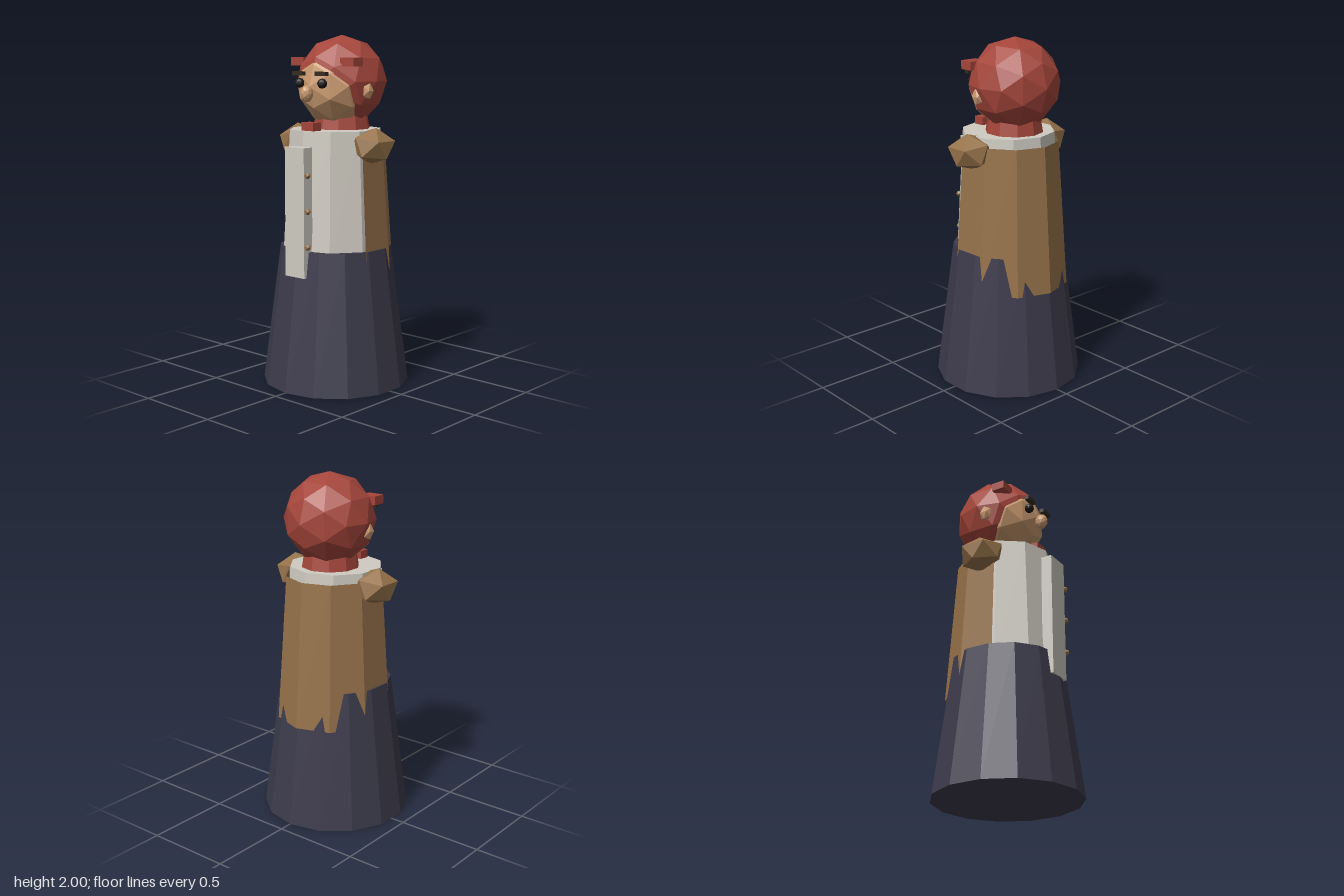
import * as THREE from 'three';

const mat = (name, color, side = THREE.FrontSide) =>
  Object.assign(new THREE.MeshStandardMaterial({ color, flatShading: true, side }), { name });

export function createModel() {
  const model = new THREE.Group();
  model.name = 'figure';

  const navy = mat('navy skirt cloth', 0x3d3b4c);
  const cream = mat('cream coat cloth', 0xcfcbc2);
  const brown = mat('brown cape cloth', 0x96724a, THREE.DoubleSide);
  const red = mat('red hair', 0xa5463b);
  const skin = mat('skin', 0xc9996f);
  const black = mat('black eyes', 0x1e1b17);
  const darkBrown = mat('dark brown brows', 0x352b1f);

  const add = (name, geometry, material, x, y, z) => {
    const mesh = new THREE.Mesh(geometry, material);
    mesh.name = name;
    mesh.position.set(x, y, z);
    model.add(mesh);
    return mesh;
  };
  // Faceted ball with its own radius on each axis
  const ball = (rx, ry, rz, detail = 0, tilt = 0) =>
    new THREE.IcosahedronGeometry(1, detail).rotateZ(tilt).scale(rx, ry, rz);
  const box = (w, h, d) => new THREE.BoxGeometry(w, h, d);

  // Skirt and coat
  add('skirt', new THREE.CylinderGeometry(0.32, 0.425, 0.8, 14), navy, 0, 0.4, 0);
  add('coat', new THREE.CylinderGeometry(0.265, 0.31, 0.77, 10), cream, 0, 1.085, 0);
  add('placket', box(0.146, 0.73, 0.066), cream, 0, 1.02, 0.307);
  for (const y of [0.835, 1.035, 1.235]) {
    add('button', ball(0.019, 0.019, 0.019), brown, 0.093, y, 0.333);
  }

  // Open cape wrapped round the back; its lower folds sink into the skirt
  const arc = THREE.MathUtils.degToRad(210);
  const capeShape = new THREE.CylinderGeometry(0.3, 0.36, 0.84, 6, 1, true, Math.PI - arc / 2, arc);
  add('cape', capeShape.scale(0.925, 1, 1), brown, 0, 1.0, 0);

  // Neck scarf and its knot
  add('scarf', new THREE.CylinderGeometry(0.15, 0.17, 0.12, 10), red, 0, 1.5, -0.05);
  add('scarfKnot', box(0.092, 0.046, 0.065), red, 0, 1.493, 0.203);

  // Head and hair
  add('head', ball(0.226, 0.23, 0.226, 1), skin, 0, 1.715, -0.008);
  add('hair', ball(0.26, 0.258, 0.258, 1), red, 0, 1.742, -0.054);
  add('nose', ball(0.034, 0.048, 0.038, 1), skin, 0, 1.676, 0.238);

  // Paired parts
  for (const [side, s] of [['left', 1], ['right', -1]]) {
    add(side + 'Shoulder', ball(0.13, 0.106, 0.137, 0, s * 0.35), brown, s * 0.277, 1.386, 0);
    add(side + 'HairTuft', box(0.1, 0.048, 0.078), red, s * 0.19, 1.85, 0.08);
    add(side + 'Ear', ball(0.03, 0.05, 0.04), skin, s * 0.232, 1.69, -0.01);
    add(side + 'Eye', ball(0.028, 0.028, 0.028, 1), black, s * 0.086, 1.733, 0.205);
    add(side + 'Brow', box(0.08, 0.023, 0.028), darkBrown, s * 0.087, 1.786, 0.212);
  }
  return model;
}
